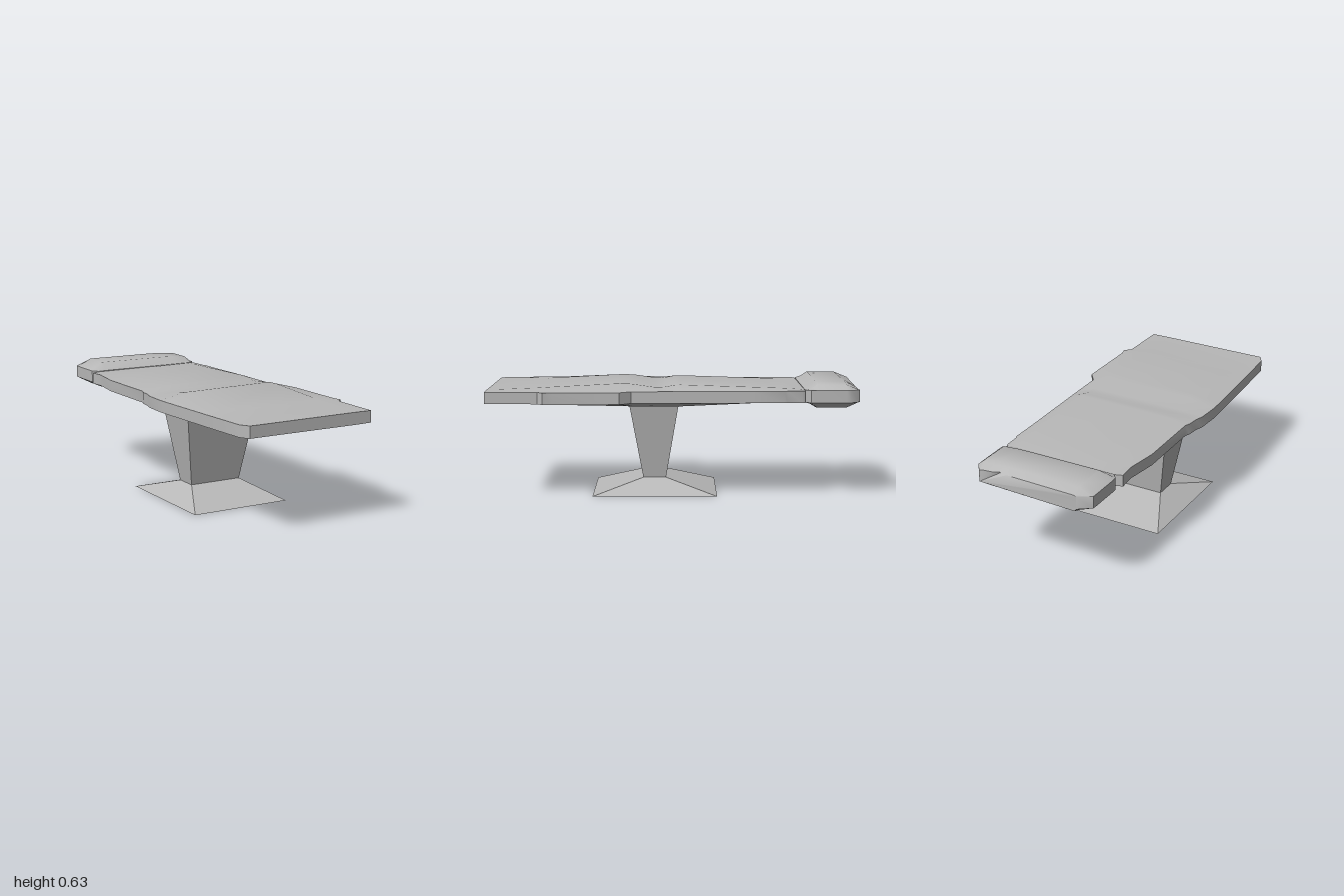
import * as THREE from 'three';
import { toCreasedNormals } from 'three/addons/utils/BufferGeometryUtils.js';

// Skin a list of equal-length closed rings and cap both ends.
// Rings run counter-clockwise when seen from the direction of travel.
function loft(rings, crease) {
  const n = rings[0].length, pos = [], index = [];
  rings.forEach(r => r.forEach(p => pos.push(...p)));
  for (let k = 0; k < rings.length - 1; k++) {
    for (let i = 0; i < n; i++) {
      const j = (i + 1) % n;
      const a = k * n + i, b = k * n + j, c = b + n, d = a + n;
      index.push(a, b, c, a, c, d);
    }
  }
  const end = (rings.length - 1) * n;
  for (let i = 1; i < n - 1; i++) {
    index.push(0, i + 1, i, end, end + i, end + i + 1);
  }
  const g = new THREE.BufferGeometry();
  g.setAttribute('position', new THREE.Float32BufferAttribute(pos, 3));
  g.setIndex(index);
  return toCreasedNormals(g, crease);
}

// Padded section: vertical side walls, raised top and bottom along inner columns [x, drop, zNotch].
function padRing([z, xl, xr, yTop, yBottom], cols, wallTop, wallBottom, notched) {
  const inner = cols.map(([x, drop, dz]) => ({
    x: Math.max(xl + 0.01, Math.min(xr - 0.01, x)), drop, z: z + (notched ? dz : 0),
  }));
  const top = inner.map(p => [p.x, Math.max(wallTop, yTop - p.drop), p.z]).reverse();
  const bottom = inner.map(p => [p.x, Math.min(wallBottom, yBottom + p.drop), p.z]);
  return [[xr, wallBottom, z], [xr, wallTop, z], ...top,
    [xl, wallTop, z], [xl, wallBottom, z], ...bottom];
}

// Horizontal rectangle for the pedestal parts.
const rect = (y, x0, x1, z0, z1) => [[x1, y, z1], [x1, y, z0], [x0, y, z0], [x0, y, z1]];

export function createModel() {
  const group = new THREE.Group();
  const grey = new THREE.MeshStandardMaterial({ color: 0xb8b8b8 });
  grey.name = 'light grey';
  const add = (name, geometry) => {
    const mesh = new THREE.Mesh(geometry, grey);
    mesh.name = name;
    group.add(mesh);
  };

  // Flared foot and tapered column
  add('baseFoot', loft([
    rect(0, -0.325, 0.245, -0.24, 0.44),
    rect(0.083, -0.19, 0.113, 0.04, 0.165),
  ], 0.1));
  add('pedestalColumn', loft([
    rect(0.083, -0.19, 0.113, 0.04, 0.165),
    rect(0.499, -0.255, 0.178, -0.03, 0.24),
  ], 0.1));

  // Long padded bed: z, left x, right x, top y, bottom y
  const bed = [
    [-0.705, -0.32, 0.32, 0.589, 0.524],
    [-0.69, -0.365, 0.327, 0.592, 0.524],
    [-0.61, -0.357, 0.33, 0.597, 0.523],
    [-0.595, -0.357, 0.338, 0.598, 0.522],
    [-0.42, -0.382, 0.34, 0.604, 0.516],
    [-0.04, -0.378, 0.35, 0.616, 0.499],
    [-0.01, -0.39, 0.351, 0.615, 0.499],
    [0.05, -0.395, 0.352, 0.604, 0.499],
    [0.1, -0.41, 0.353, 0.603, 0.499],
    [0.225, -0.417, 0.355, 0.621, 0.499],
    [0.285, -0.415, 0.402, 0.623, 0.501],
    [0.64, -0.395, 0.404, 0.605, 0.518],
    [0.69, -0.392, 0.415, 0.602, 0.521],
    [0.72, -0.39, 0.382, 0.6, 0.523],
    [0.95, -0.375, 0.38, 0.591, 0.524],
    [1, -0.345, 0.38, 0.589, 0.524],
  ];
  const bedCols = [[-0.26, 0.006, 0], [0.27, 0, 0]];
  add('bedPad', loft(bed.map(s => padRing(s, bedCols, 0.588, 0.525)), 0.5));

  // Headrest cushion with a small notch in its end
  const head = [
    [-1, -0.28, 0.29, 0.6, 0.512],
    [-0.95, -0.348, 0.328, 0.62, 0.495],
    [-0.925, -0.349, 0.33, 0.631, 0.484],
    [-0.77, -0.35, 0.332, 0.631, 0.484],
    [-0.735, -0.348, 0.332, 0.608, 0.505],
    [-0.705, -0.32, 0.3, 0.592, 0.524],
  ];
  const headCols = [[-0.27, 0, 0], [0.13, 0.002, 0.01], [0.17, 0.003, 0.025],
    [0.21, 0.004, 0.008], [0.295, 0.011, 0.006]];
  add('headrest', loft(head.map((s, i) => padRing(s, headCols, 0.591, 0.525, i === 0)), 0.65));

  return group;
}
